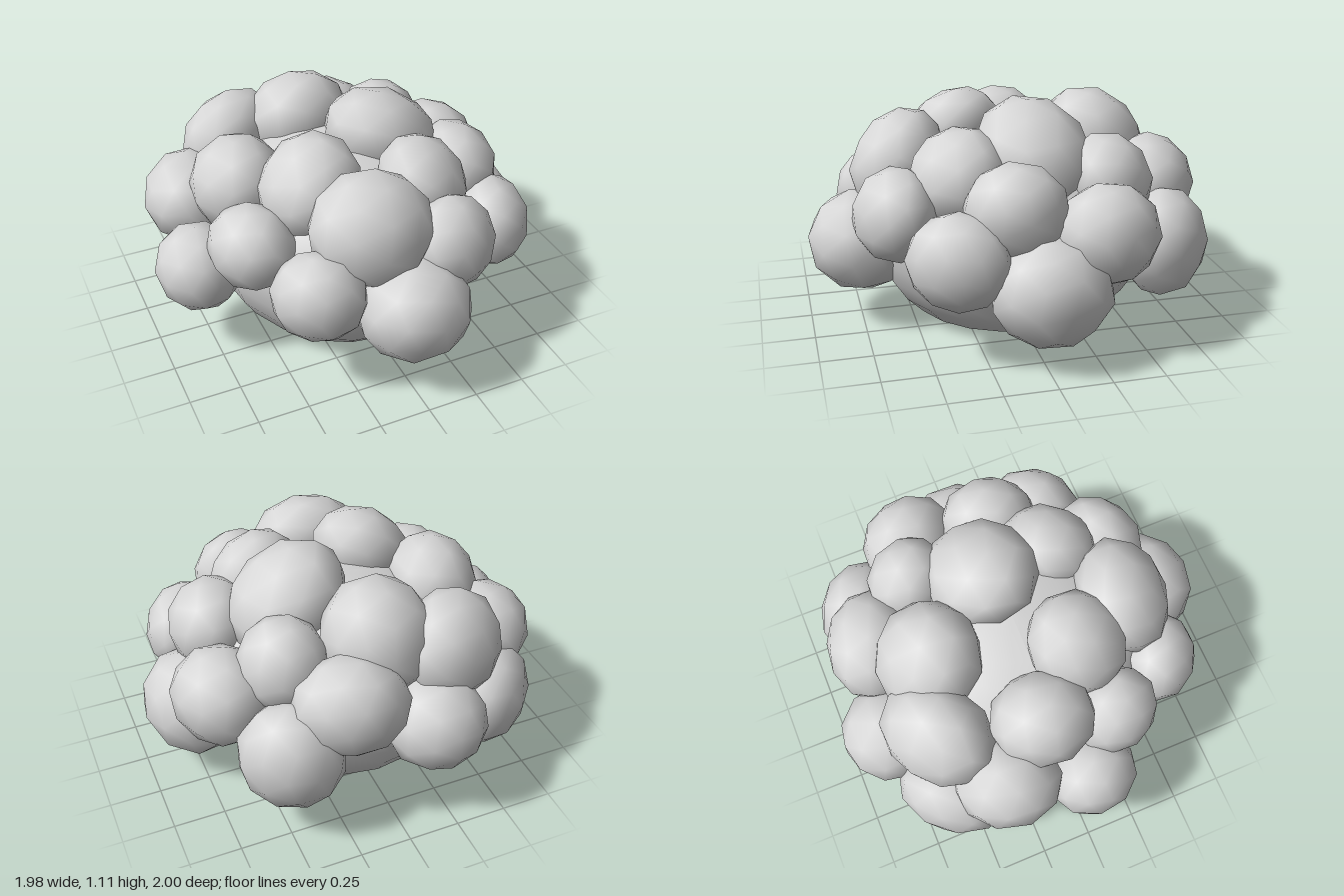
import * as THREE from 'three';

// Puffs: centre x, y, z then radii across, up and outward from the core
const PUFFS = {
  lowerPuff: [
    [0.04, 0.41, 0.74, 0.27, 0.24, 0.25],
    [-0.39, 0.53, 0.62, 0.22, 0.21, 0.18],
    [0.65, 0.50, 0.37, 0.24, 0.22, 0.19],
    [-0.79, 0.45, 0.08, 0.22, 0.21, 0.20],
    [0.74, 0.35, -0.04, 0.28, 0.25, 0.24],
    [0.46, 0.43, -0.67, 0.25, 0.26, 0.21],
    [-0.22, 0.48, -0.76, 0.24, 0.22, 0.24],
    [-0.60, 0.40, -0.59, 0.27, 0.24, 0.19],
  ],
  middlePuff: [
    [0.30, 0.62, 0.60, 0.23, 0.22, 0.18],
    [-0.58, 0.64, 0.28, 0.22, 0.20, 0.19],
    [0.58, 0.69, 0.09, 0.24, 0.22, 0.21],
    [0.67, 0.58, -0.32, 0.25, 0.23, 0.22],
    [0.18, 0.65, -0.69, 0.27, 0.23, 0.22],
    [-0.69, 0.59, -0.33, 0.26, 0.22, 0.23],
  ],
  upperPuff: [
    [-0.09, 0.76, 0.53, 0.29, 0.27, 0.21],
    [0.29, 0.78, 0.30, 0.24, 0.24, 0.19],
    [0.40, 0.75, -0.41, 0.21, 0.22, 0.19],
    [-0.39, 0.74, -0.56, 0.29, 0.25, 0.21],
    [-0.52, 0.77, -0.08, 0.25, 0.23, 0.22],
    [-0.26, 0.85, 0.21, 0.24, 0.26, 0.20],
    [0.25, 0.86, -0.08, 0.27, 0.31, 0.22],
    [-0.05, 0.82, -0.47, 0.27, 0.28, 0.23],
  ],
};

export function createModel() {
  const group = new THREE.Group();
  const grey = new THREE.MeshStandardMaterial({ color: 0xd6d6d6 });
  grey.name = 'soft grey';

  // Core: rounded dome with a nearly flat underside
  const coreGeo = new THREE.SphereGeometry(1, 20, 16);
  const pos = coreGeo.attributes.position;
  for (let i = 0; i < pos.count; i++) {
    const y = pos.getY(i);
    let h = 0.45 + y * (y > 0 ? 0.45 : 0.59);
    if (h < 0.03) h = 0.005 + 0.025 * (h + 0.14) / 0.17;
    pos.setXYZ(i, pos.getX(i) * 0.68, h, pos.getZ(i) * 0.72 - 0.03);
  }
  coreGeo.computeVertexNormals();
  const core = new THREE.Mesh(coreGeo, grey);
  core.name = 'core';
  group.add(core);

  // Puffs: coarse smooth-shaded balls, flattened against the core and tilted outward
  let turn = 0;
  for (const [name, list] of Object.entries(PUFFS)) {
    const ring = new THREE.Group();
    ring.name = name + 's';
    for (const [x, y, z, across, up, out] of list) {
      turn += 1.3;
      const geo = new THREE.IcosahedronGeometry(1.04, 1);
      geo.rotateX(turn).rotateY(turn * 1.7).scale(across, up, out);
      const puff = new THREE.Mesh(geo, grey);
      puff.name = name;
      puff.position.set(x, y, z);
      const tilt = Math.atan2(y - 0.4, Math.hypot(x, z));
      puff.rotation.set(-tilt, Math.atan2(x, z), 0, 'YXZ');
      ring.add(puff);
    }
    group.add(ring);
  }
  return group;
}
